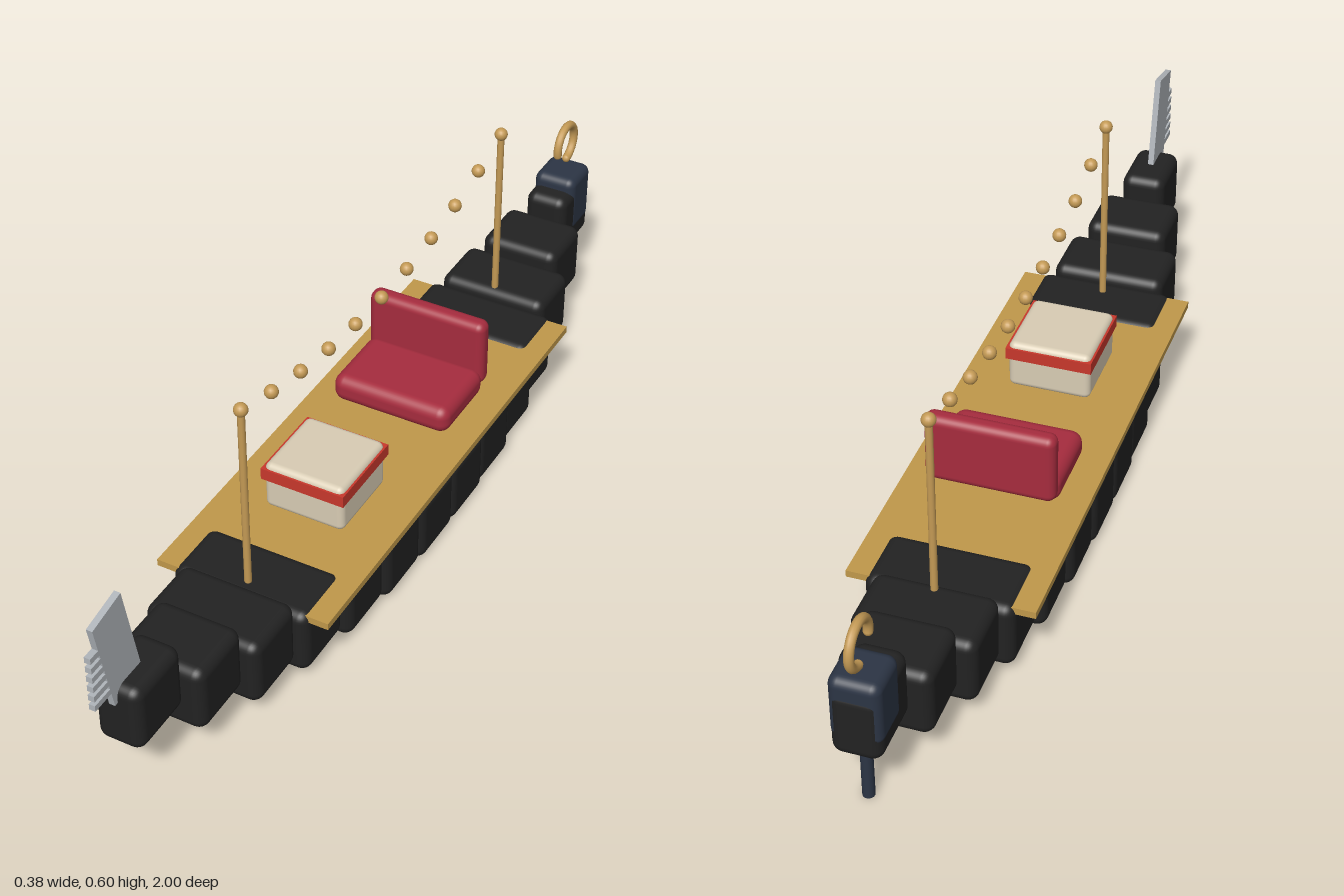
import * as THREE from 'three';
import { RoundedBoxGeometry } from 'three/addons/geometries/RoundedBoxGeometry.js';

function paint(name, color) {
  const m = new THREE.MeshStandardMaterial({ color });
  m.name = name;
  return m;
}

export function createModel() {
  const model = new THREE.Group();
  model.name = 'boat';
  const black = paint('hull black', 0x222222);
  const wood = paint('deck wood', 0xc0984a);
  const brass = paint('brass', 0xc49a55);
  const crimson = paint('seat crimson', 0xa62c3e);
  const cream = paint('chest cream', 0xd8ccb4);
  const red = paint('band red', 0xc8382c);
  const steel = paint('steel', 0xb0b5ba);
  const navy = paint('motor navy', 0x2c3545);

  const add = (name, geometry, material, x, y, z, parent = model) => {
    const mesh = new THREE.Mesh(geometry, material);
    mesh.name = name;
    mesh.position.set(x, y, z);
    parent.add(mesh);
    return mesh;
  };
  const box = (w, h, d) => new THREE.BoxGeometry(w, h, d);
  const soft = (w, h, d, r) => new RoundedBoxGeometry(w, h, d, 4, r);
  const group = (name) => {
    const g = new THREE.Group();
    g.name = name;
    model.add(g);
    return g;
  };

  // Hull: overlapping rounded blocks that narrow and rise toward both ends
  const hull = group('hull');
  const count = 14;
  for (let i = 0; i < count; i++) {
    const u = Math.abs((2 * i) / (count - 1) - 1);
    const width = 2 * (0.185 - 0.136 * u ** 2.2);
    const bottom = 0.133 * u ** 3;
    add('hullBlock', soft(width, 0.148, 0.148, 0.023), black, 0, bottom + 0.074, 0.86 - 0.1366 * i, hull);
  }

  // Deck
  add('deck', box(0.38, 0.015, 1.073), wood, 0, 0.1555, -0.027);

  // Bench seat
  const seat = group('seat');
  add('seatCushion', soft(0.27, 0.063, 0.18, 0.025), crimson, 0, 0.199, -0.173, seat);
  add('seatBack', soft(0.27, 0.155, 0.042, 0.018), crimson, 0, 0.266, -0.267, seat);

  // Chest with a band around it
  const chest = group('chest');
  add('chestBody', soft(0.178, 0.108, 0.178, 0.014), cream, 0, 0.216, 0.182, chest);
  add('chestBand', box(0.186, 0.026, 0.186), red, 0, 0.246, 0.182, chest);

  // Two posts with a sagging row of lamps between them
  const lights = group('lights');
  const zFront = 0.483, zBack = -0.59;
  for (const z of [zFront, zBack]) {
    add('post', new THREE.CylinderGeometry(0.0075, 0.0075, 0.43, 12), brass, 0, 0.368, z, lights);
  }
  const bead = new THREE.SphereGeometry(0.0142, 16, 12);
  for (let i = 0; i <= 10; i++) {
    const u = i / 5 - 1;
    add('lamp', bead, brass, 0, 0.498 + 0.089 * u * u, THREE.MathUtils.lerp(zFront, zBack, i / 10), lights);
  }

  // Bow blade with forward teeth
  const prow = group('prow');
  const blade = add('prowBlade', box(0.013, 0.221, 0.09), steel, 0, 0.363, 0.92, prow);
  blade.rotation.x = 0.2;
  for (let i = 0; i < 6; i++) {
    add('prowTooth', box(0.013, 0.013, 0.065), steel, 0, 0.29 + 0.0225 * i, 0.967, prow);
  }

  // Stern motor with its shaft
  const motor = group('motor');
  add('motorHousing', soft(0.1, 0.142, 0.102, 0.02), navy, 0, 0.239, -0.937, motor);
  add('motorShaft', new THREE.CylinderGeometry(0.012, 0.012, 0.2, 16), navy, 0, 0.1, -0.94, motor);

  // Curled stern ornament, open toward the bow
  const curl = group('sternCurl');
  const start = -1.4, arc = 4.75, ring = 0.044, tube = 0.0095;
  const torus = new THREE.TorusGeometry(ring, tube, 12, 32, arc).rotateZ(start).rotateY(Math.PI / 2);
  add('curl', torus, brass, 0, 0.37, -0.946, curl);
  for (const a of [start, start + arc]) {
    add('curlEnd', new THREE.SphereGeometry(tube, 12, 8), brass,
      0, 0.37 + ring * Math.sin(a), -0.946 - ring * Math.cos(a), curl);
  }
  return model;
}
